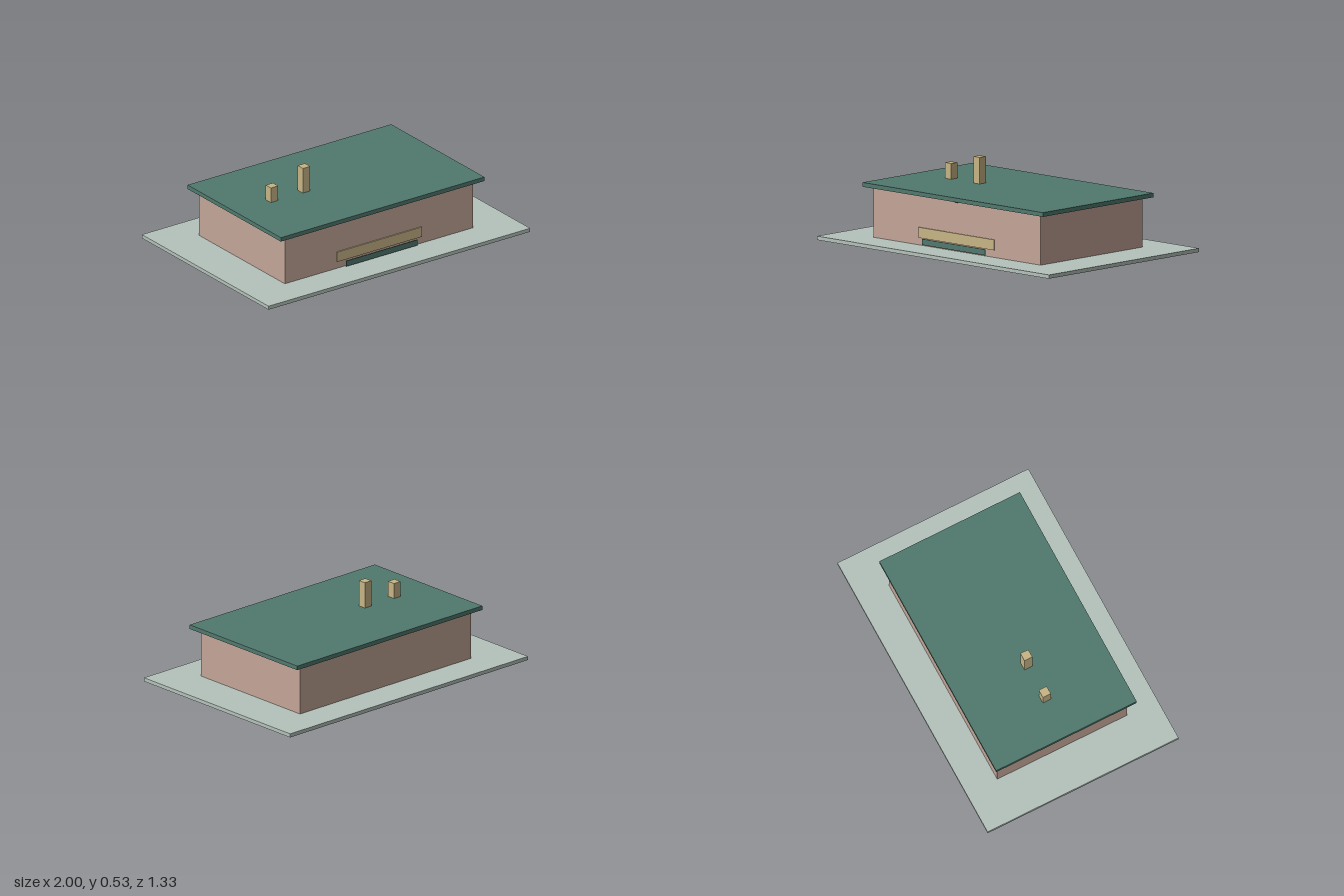
import * as THREE from 'three';

const material = (name, color) => {
  const m = new THREE.MeshStandardMaterial({ color });
  m.name = name;
  return m;
};

export function createModel() {
  const model = new THREE.Group();
  model.name = 'building';

  const stone = material('pale grey green', 0xb5c2bb);
  const wall = material('dusty pink', 0xc4a698);
  const green = material('deep green', 0x50796e);
  const tan = material('tan', 0xc8b586);

  // Box given by its size, its bottom height and its centre in x and z
  const box = (name, mat, [w, h, d], x, bottom, z) => {
    const mesh = new THREE.Mesh(new THREE.BoxGeometry(w, h, d), mat);
    mesh.name = name;
    mesh.position.set(x, bottom + h / 2, z);
    model.add(mesh);
  };

  // Ground slab, walls and flat overhanging roof
  box('baseSlab', stone, [2, 0.024, 1.334], 0, 0, 0);
  box('walls', wall, [1.44, 0.317, 0.906], 0, 0.023, 0);
  box('roof', green, [1.556, 0.027, 0.982], 0, 0.339, 0);

  // Small eave brackets at the middle of each wall
  for (const side of [-1, 1]) {
    box('sideBracket', green, [0.02, 0.011, 0.02], side * 0.722, 0.329, 0);
    box('endBracket', green, [0.02, 0.011, 0.02], 0, 0.329, side * 0.455);
  }

  // Two chimneys of different height
  for (const [x, top] of [[-0.49, 0.465], [-0.245, 0.533]])
    box('chimney', tan, [0.055, top - 0.364, 0.055], x, 0.364, 0);

  // Wide front window strip, with a thin rail standing in front of it
  box('frontWindow', tan, [0.65, 0.066, 0.008], 0, 0.07, 0.456);
  box('frontRail', green, [0.544, 0.037, 0.005], 0, 0.035, 0.483);

  return model;
}
